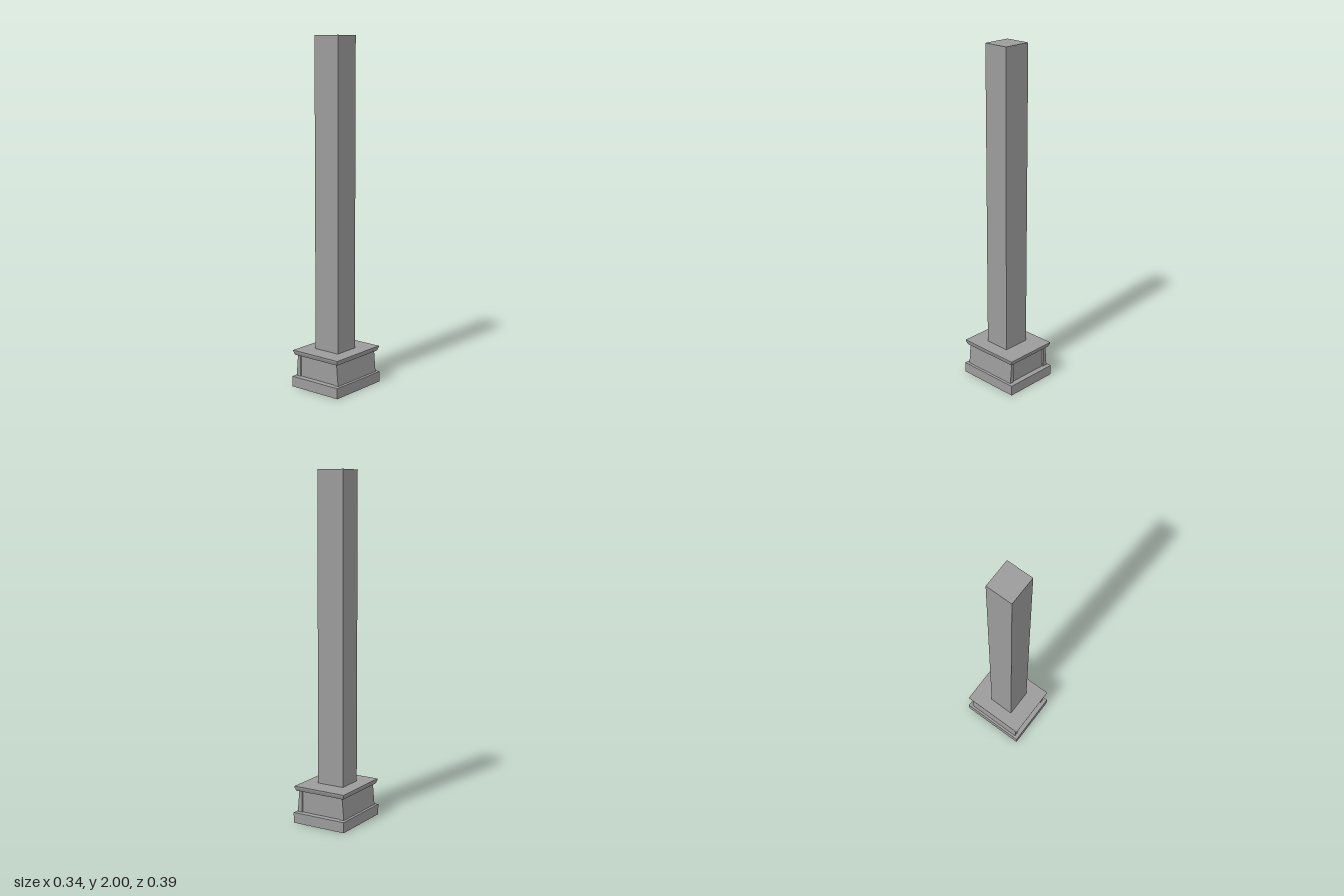
import * as THREE from 'three';

const grey = new THREE.MeshStandardMaterial({ color: 0x9b9b9b, flatShading: true, side: THREE.DoubleSide });

// Rectangular outline at height y; front and back edges can carry a recessed panel.
function ring(y, hx, hz, recess = 0) {
  const r = hz - recess;
  const half = [[-hx, hz], [-0.127, hz], [-0.122, r], [0.122, r], [0.127, hz], [hx, hz]];
  const loop = [...half, ...half.map(([x, z]) => [-x, -z])];
  return loop.map(([x, z]) => [x, y, z]);
}

// Skin consecutive outlines, optionally closing the last one with a flat top.
function loft(name, rings, capped = false) {
  const pos = [];
  for (let k = 0; k + 1 < rings.length; k++) {
    const lo = rings[k], hi = rings[k + 1], n = lo.length;
    for (let i = 0; i < n; i++) {
      const j = (i + 1) % n;
      pos.push(...lo[i], ...lo[j], ...hi[j], ...lo[i], ...hi[j], ...hi[i]);
    }
  }
  if (capped) {
    const top = rings[rings.length - 1];
    top.forEach((p, i) => pos.push(...p, ...top[(i + 1) % top.length], 0, p[1], 0));
  }
  const geo = new THREE.BufferGeometry();
  geo.setAttribute('position', new THREE.Float32BufferAttribute(pos, 3));
  geo.computeVertexNormals();
  const mesh = new THREE.Mesh(geo, grey);
  mesh.name = name;
  return mesh;
}

export function createModel() {
  const group = new THREE.Group();
  group.name = 'pillar';

  // Hollow plinth, open underneath, with a narrow ledge on top
  group.add(loft('plinth', [ring(0, 0.168, 0.195), ring(0.061, 0.168, 0.195), ring(0.064, 0.155, 0.172, 0.006)]));

  // Pedestal body: sloping sides, recessed front and back panels
  group.add(loft('pedestalBody', [ring(0.064, 0.155, 0.172, 0.006), ring(0.189, 0.144, 0.172, 0.006)]));

  // Flared cap slab with a thin upright rim
  group.add(loft('pedestalCap', [
    ring(0.189, 0.144, 0.172, 0.006), ring(0.189, 0.157, 0.182),
    ring(0.208, 0.164, 0.19), ring(0.217, 0.165, 0.191),
  ], true));

  // Tall square shaft, set slightly toward the front
  const shaft = new THREE.Mesh(new THREE.BoxGeometry(0.167, 1.783, 0.154), grey);
  shaft.name = 'shaft';
  shaft.position.set(-0.001, 1.1085, 0.009);
  group.add(shaft);

  return group;
}
